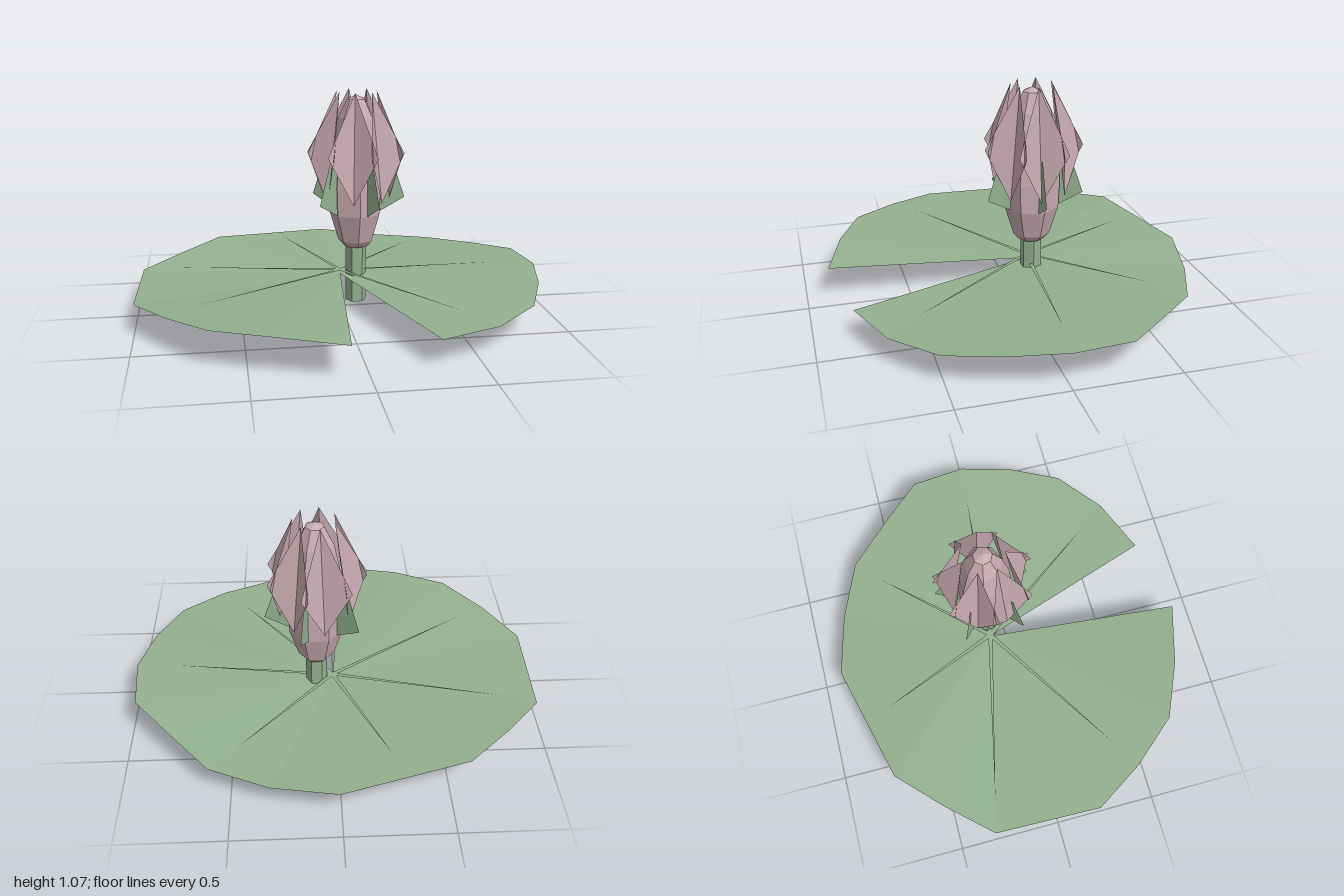
import * as THREE from 'three';

const green = new THREE.MeshStandardMaterial({ color: 0x93b18f, side: THREE.DoubleSide });
green.name = 'leaf green';
const pink = new THREE.MeshStandardMaterial({ color: 0xc8abb2, side: THREE.DoubleSide });
pink.name = 'petal pink';

// Faceted mesh from a list of triangles, each of three [x, y, z] corners
function facets(name, triangles, material) {
  const g = new THREE.BufferGeometry();
  g.setAttribute('position', new THREE.Float32BufferAttribute(triangles.flat(2), 3));
  g.computeVertexNormals();
  const mesh = new THREE.Mesh(g, material);
  mesh.name = name;
  return mesh;
}

function faceted(name, geometry, material) {
  const g = geometry.toNonIndexed();
  g.computeVertexNormals();
  const mesh = new THREE.Mesh(g, material);
  mesh.name = name;
  return mesh;
}

// The pad waves up and down three times around its centre
const CX = 0.01, CZ = -0.09;
const rimHeight = (a) => 0.152 + 0.026 * Math.cos(3 * a);

function lilyPad() {
  const rim = [
    [-0.085, 0.89], [-0.39, 0.8], [-0.66, 0.68], [-0.85, 0.455], [-1, 0.215],
    [-0.985, -0.32], [-0.8, -0.53], [-0.59, -0.74], [0.01, -0.895], [0.32, -0.82],
    [0.6, -0.7], [0.81, -0.47], [0.975, -0.28], [1, 0], [0.935, 0.26],
    [0.82, 0.515], [0.6, 0.7], [0.315, 0.815],
  ].map(([x, z]) => [x, rimHeight(Math.atan2(z - CZ, x - CX)), z]);
  const centre = [CX, 0.138, CZ];
  const tris = [];
  for (let i = 0; i < rim.length - 1; i++) tris.push([centre, rim[i + 1], rim[i]]);
  return facets('lilyPad', tris, green);
}

// Thin tapering veins just above the pad
function veins() {
  const tips = [[0.8, -0.02], [0.47, -0.585], [-0.24, -0.69], [-0.82, -0.28], [-0.7, 0.36], [0.48, 0.55]];
  const tris = tips.map(([x, z]) => {
    const a = Math.atan2(z - CZ, x - CX);
    const r = Math.hypot(x - CX, z - CZ);
    const dx = -Math.sin(a) * 0.011, dz = Math.cos(a) * 0.011;
    const y = 0.138 + (rimHeight(a) - 0.138) * r + 0.018;
    return [[CX + dx, 0.16, CZ + dz], [x, y, z], [CX - dx, 0.16, CZ - dz]];
  });
  return facets('padVeins', tris, green);
}

export function createModel() {
  const model = new THREE.Group();
  model.name = 'waterLily';
  model.add(lilyPad(), veins());

  const flower = new THREE.Group();
  flower.name = 'flower';
  flower.position.set(0.09, 0, -0.09);
  model.add(flower);

  // Six-sided stem
  const stem = faceted('stem', new THREE.CylinderGeometry(0.052, 0.052, 0.3, 6), green);
  stem.position.y = 0.15;
  stem.rotation.y = Math.PI / 6;
  flower.add(stem);

  // Closed bud in the middle
  const profile = [[0, 0.285], [0.065, 0.29], [0.09, 0.32], [0.132, 0.46], [0.137, 0.6],
    [0.125, 0.78], [0.09, 0.94], [0.045, 1.03], [0, 1.05]].map(([r, y]) => new THREE.Vector2(r, y));
  flower.add(faceted('bud', new THREE.LatheGeometry(profile, 7), pink));

  // Seven outer petals, each folded along its middle with flared corners
  const top = [0.1, 1.07, 0], foot = [0.17, 0.53, 0];
  const leftCorner = [0.21, 0.77, 0.12], rightCorner = [0.21, 0.77, -0.12];
  for (let i = 0; i < 7; i++) {
    const petal = facets('petal', [[foot, top, leftCorner], [foot, rightCorner, top]], pink);
    petal.rotation.y = (i / 7) * Math.PI * 2;
    flower.add(petal);
  }

  // Five green sepals standing out between bud and petals
  for (let i = 0; i < 5; i++) {
    const sepal = facets('sepal', [[[0.122, 0.46, 0], [0.247, 0.53, 0], [0.175, 0.74, 0]],
      [[0.122, 0.46, 0], [0.175, 0.74, 0], [0.12, 0.7, 0]]], green);
    sepal.rotation.y = (i / 5) * Math.PI * 2;
    flower.add(sepal);
  }
  return model;
}
